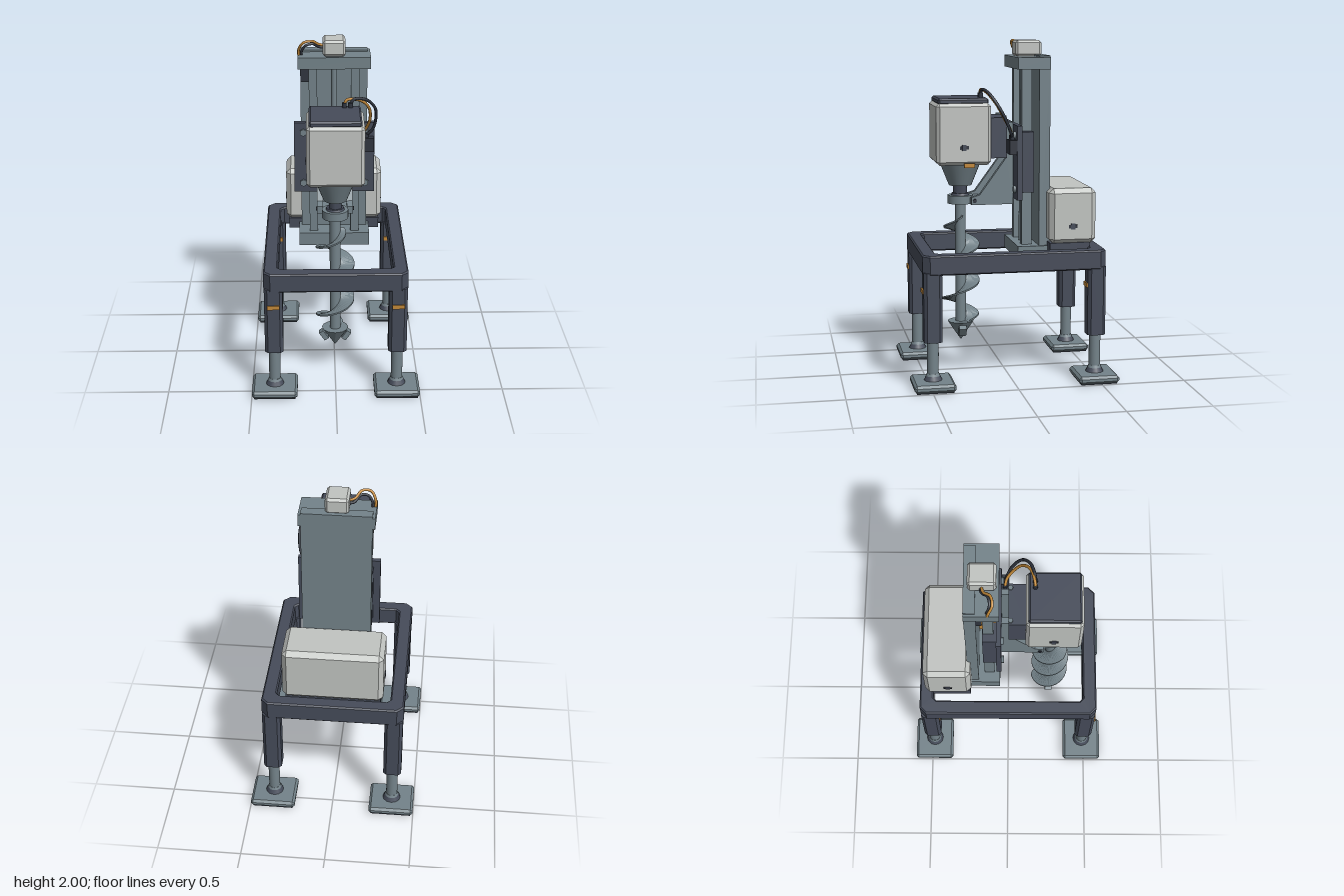
import * as THREE from 'three';
import { ConvexGeometry } from 'three/addons/geometries/ConvexGeometry.js';

const mat = (name, color) => Object.assign(new THREE.MeshStandardMaterial({ color }), { name });

export function createModel() {
  const root = new THREE.Group();
  root.name = 'drillRig';
  const dark = mat('dark painted steel', 0x464c5a);
  const steel = mat('grey steel', 0x74838a);
  const white = mat('off-white housing', 0xc2c5c2);
  const orange = mat('orange accent', 0xc48a3a);
  const black = mat('black rubber', 0x30353f);
  const flight = mat('auger flight steel', 0x74838a);
  flight.side = THREE.DoubleSide;

  const add = (name, geo, m, x = 0, y = 0, z = 0, parent = root) => {
    const mesh = new THREE.Mesh(geo, m);
    mesh.name = name;
    mesh.position.set(x, y, z);
    parent.add(mesh);
    return mesh;
  };
  // Box given by its limits; c > 0 chamfers every edge
  const box = (name, m, [x0, x1], [y0, y1], [z0, z1], c = 0, parent = root) => {
    const w = x1 - x0, h = y1 - y0, d = z1 - z0;
    let geo;
    if (c) {
      const pts = [];
      for (const i of [-1, 1]) for (const j of [-1, 1]) for (const k of [-1, 1])
        for (let a = 0; a < 3; a++)
          pts.push(new THREE.Vector3(
            i * (w / 2 - (a === 0 ? 0 : c)),
            j * (h / 2 - (a === 1 ? 0 : c)),
            k * (d / 2 - (a === 2 ? 0 : c))));
      geo = new ConvexGeometry(pts);
    } else geo = new THREE.BoxGeometry(w, h, d);
    return add(name, geo, m, (x0 + x1) / 2, (y0 + y1) / 2, (z0 + z1) / 2, parent);
  };
  const cyl = (name, m, rTop, rBot, y0, y1, x, z, n = 24, parent = root) =>
    add(name, new THREE.CylinderGeometry(rTop, rBot, y1 - y0, n), m, x, (y0 + y1) / 2, z, parent);
  const octagon = (w, d, c) => [[w, d - c], [w - c, d], [c - w, d], [-w, d - c],
    [-w, c - d], [c - w, -d], [w - c, -d], [w, c - d]].map(p => new THREE.Vector2(...p));
  const cable = (name, m, pts, r = 0.009) => add(name, new THREE.TubeGeometry(
    new THREE.CatmullRomCurve3(pts.map(p => new THREE.Vector3(...p))), 32, r, 8), m);

  // Base frame: ring with chamfered corners
  const ring = new THREE.Shape(octagon(0.412, 0.534, 0.035));
  ring.holes.push(new THREE.Path(octagon(0.344, 0.467, 0.025).reverse()));
  const frameGeo = new THREE.ExtrudeGeometry(ring, {
    depth: 0.099, bevelEnabled: true, bevelSegments: 1, bevelSize: 0.008, bevelThickness: 0.008 });
  frameGeo.rotateX(-Math.PI / 2);
  add('baseFrame', frameGeo, dark, 0, 0.683, 0);

  // Four telescopic legs with feet
  const sleeveGeo = new THREE.ExtrudeGeometry(new THREE.Shape(octagon(0.054, 0.054, 0.018)),
    { depth: 0.41, bevelEnabled: false });
  sleeveGeo.rotateX(-Math.PI / 2);
  for (const sx of [-1, 1]) for (const sz of [-1, 1]) {
    const leg = new THREE.Group();
    leg.name = 'leg';
    leg.position.set(sx * 0.363, 0, sz * 0.485);
    root.add(leg);
    add('legSleeve', sleeveGeo, dark, 0, 0.28, 0, leg);
    cyl('legInnerTube', steel, 0.034, 0.034, 0.05, 0.3, 0, 0, 20, leg);
    cyl('ankleCollar', dark, 0.042, 0.054, 0.05, 0.075, 0, 0, 12, leg);
    cyl('ankleRing', steel, 0.036, 0.042, 0.075, 0.09, 0, 0, 12, leg);
    box('footPad', steel, [-0.135, 0.135], [0.005, 0.05], [-0.121, 0.121], 0.014, leg);
    box('footSole', dark, [-0.122, 0.122], [0, 0.006], [-0.108, 0.108], 0, leg);
    box('legMarker', orange, [-0.036, 0.036], [0.567, 0.592], [0.05, 0.062], 0, leg);
  }

  // Mast: back plate, guide rails, lead screw, end blocks
  box('mastBackPlate', steel, [-0.2, 0.2], [0.72, 1.915], [-0.245, -0.18]);
  box('mastTopBlock', steel, [-0.215, 0.215], [1.835, 1.905], [-0.245, -0.05]);
  box('mastBaseBlock', steel, [-0.215, 0.215], [0.71, 0.79], [-0.245, -0.05]);
  for (const s of [-1, 1])
    box('guideRail', steel, [s * 0.125 - 0.025, s * 0.125 + 0.025], [0.78, 1.84], [-0.145, -0.085]);
  cyl('leadScrew', steel, 0.017, 0.017, 0.78, 1.84, 0, -0.115, 16);
  box('limitSwitch', black, [-0.2, -0.1], [1.73, 1.81], [-0.18, -0.145]);
  box('feedMotor', white, [-0.067, 0.067], [1.905, 2], [-0.222, -0.065], 0.014);

  // Power cabinet on its deck
  box('cabinetDeck', dark, [-0.28, 0.28], [0.75, 0.815], [-0.47, -0.23]);
  box('powerCabinet', white, [-0.295, 0.295], [0.81, 1.14], [-0.507, -0.225], 0.028);

  // Carriage on the rails
  box('carriagePlate', dark, [-0.24, 0.24], [1.07, 1.51], [-0.07, -0.04]);
  for (const s of [-1, 1]) {
    box('carriageBearing', dark, [s * 0.14 - 0.06, s * 0.14 + 0.06], [1.11, 1.47], [-0.148, -0.07]);
    for (const y of [1.13, 1.45]) {
      const bolt = add('carriageBolt', new THREE.CylinderGeometry(0.022, 0.022, 0.016, 6), steel, s * 0.185, y, -0.034);
      bolt.rotation.x = Math.PI / 2;
    }
  }
  box('screwNut', orange, [-0.04, 0.04], [1.25, 1.33], [-0.17, -0.07]);
  box('motorBracket', dark, [-0.125, 0.125], [1.31, 1.55], [0, 0.11]);
  for (const s of [-1, 1]) cyl('bracketBolt', steel, 0.015, 0.015, 1.55, 1.56, s * 0.1, 0.012, 6);

  // Gusset arms carrying the lower bearing (profile in z, y)
  const gusset = new THREE.Shape([[-0.04, 1.03], [0.21, 1.03], [0.21, 1.075], [0.16, 1.09],
    [0, 1.31], [0, 1.52], [-0.04, 1.52]].map(p => new THREE.Vector2(...p)));
  const gussetGeo = new THREE.ExtrudeGeometry(gusset, { depth: 0.035, bevelEnabled: false });
  gussetGeo.rotateY(-Math.PI / 2);
  for (const x of [-0.07, 0.105]) add('gussetArm', gussetGeo, steel, x, 0, 0);
  for (const s of [-1, 1]) {
    const pin = add('armPin', new THREE.CylinderGeometry(0.012, 0.012, 0.01, 6), black, s * 0.108, 1.055, 0.19);
    pin.rotation.z = Math.PI / 2;
  }
  box('armCrossPlate', steel, [-0.1, 0.1], [1.03, 1.07], [0.12, 0.21]);

  // Drill motor, lid, gearbox cone and coupling
  const Z = 0.262;
  box('drillMotor', white, [-0.166, 0.166], [1.275, 1.64], [Z - 0.163, Z + 0.163], 0.02);
  box('motorLid', dark, [-0.15, 0.15], [1.63, 1.667], [Z - 0.15, Z + 0.15], 0.01);
  box('motorMarker', orange, [0.145, 0.169], [1.262, 1.287], [0.2, 0.262]);
  cyl('gearboxCone', steel, 0.124, 0.068, 1.14, 1.28, 0, Z, 32);
  cyl('couplingNut', dark, 0.042, 0.042, 1.09, 1.14, 0, Z, 6);
  cyl('lowerBearing', steel, 0.077, 0.077, 1.03, 1.08, 0, Z, 32);
  cyl('bearingCap', dark, 0.05, 0.055, 1.08, 1.092, 0, Z, 24);

  // Latches on both sides of the two housings
  for (const s of [-1, 1]) for (const [x, y, z] of [[0.167, 1.38, Z], [0.296, 0.915, -0.365]]) {
    box('latchBar', black, [s * x - 0.004, s * x + 0.004], [y - 0.01, y + 0.01], [z - 0.026, z + 0.026]);
    box('latchKnob', dark, [s * x - 0.005, s * x + 0.005], [y - 0.018, y + 0.018], [z - 0.013, z + 0.013]);
  }

  // Auger: shaft, helical flight and cutting tip
  cyl('augerShaft', steel, 0.032, 0.032, 0.28, 1.1, 0, Z, 24);
  const pos = [], idx = [], N = 144, top = 0.955, bottom = 0.31;
  for (let i = 0; i <= N; i++) {
    const y = top + (bottom - top) * i / N;
    const a = 2 * Math.PI * (0.95 - y) / 0.222;
    const r = 0.055 + 0.06 * Math.min(1, (top - y) / 0.09, (y - bottom) / 0.04 + 0.2);
    for (const [q, dy] of [[0.028, 0.005], [r, 0.005], [r, -0.005], [0.028, -0.005]])
      pos.push(q * Math.cos(a), y + dy, q * Math.sin(a));
    if (i < N) for (let k = 0; k < 3; k++) {
      const b = i * 4 + k;
      idx.push(b, b + 4, b + 1, b + 1, b + 4, b + 5);
    }
  }
  let helix = new THREE.BufferGeometry();
  helix.setAttribute('position', new THREE.Float32BufferAttribute(pos, 3));
  helix.setIndex(idx);
  helix = helix.toNonIndexed();
  helix.computeVertexNormals();
  add('augerFlight', helix, flight, 0, 0, Z);
  const tipGeo = new THREE.CylinderGeometry(0.08, 0.003, 0.115, 12).toNonIndexed();
  tipGeo.computeVertexNormals();
  add('augerTip', tipGeo, steel, 0, 0.2475, Z);
  for (const s of [-1, 1]) {
    const tooth = add('cuttingTooth', new THREE.BoxGeometry(0.03, 0.06, 0.045), steel, s * 0.068, 0.255, Z);
    tooth.rotation.z = -s * 0.6;
  }

  // Cables and their connectors
  box('carriageJunctionBox', black, [0.135, 0.235], [1.34, 1.425], [-0.04, 0.003]);
  for (const x of [0.055, 0.09]) cyl('cableGland', black, 0.014, 0.014, 1.66, 1.695, x, 0.15, 10);
  for (const x of [0.155, 0.19]) cyl('cableGland', black, 0.013, 0.013, 1.42, 1.45, x, -0.02, 10);
  cable('motorCableOrange', orange, [[0.055, 1.685, 0.15], [0.07, 1.712, 0.148], [0.15, 1.70, 0.125],
    [0.2, 1.64, 0.08], [0.208, 1.55, 0.03], [0.185, 1.48, -0.01], [0.155, 1.44, -0.02]]);
  cable('motorCableBlack', black, [[0.09, 1.685, 0.15], [0.11, 1.715, 0.148], [0.18, 1.705, 0.125],
    [0.235, 1.64, 0.08], [0.242, 1.55, 0.03], [0.225, 1.48, 0], [0.19, 1.44, -0.02]]);
  cable('feedCableOrange', orange, [[-0.06, 1.955, -0.145], [-0.095, 1.965, -0.135], [-0.13, 1.993, -0.095],
    [-0.18, 1.985, -0.085], [-0.207, 1.94, -0.105], [-0.207, 1.89, -0.115]], 0.008);
  cable('feedCableBlack', black, [[-0.06, 1.94, -0.15], [-0.09, 1.945, -0.145], [-0.125, 1.972, -0.11],
    [-0.165, 1.965, -0.1], [-0.19, 1.93, -0.11], [-0.192, 1.89, -0.12]], 0.008);
  return root;
}
